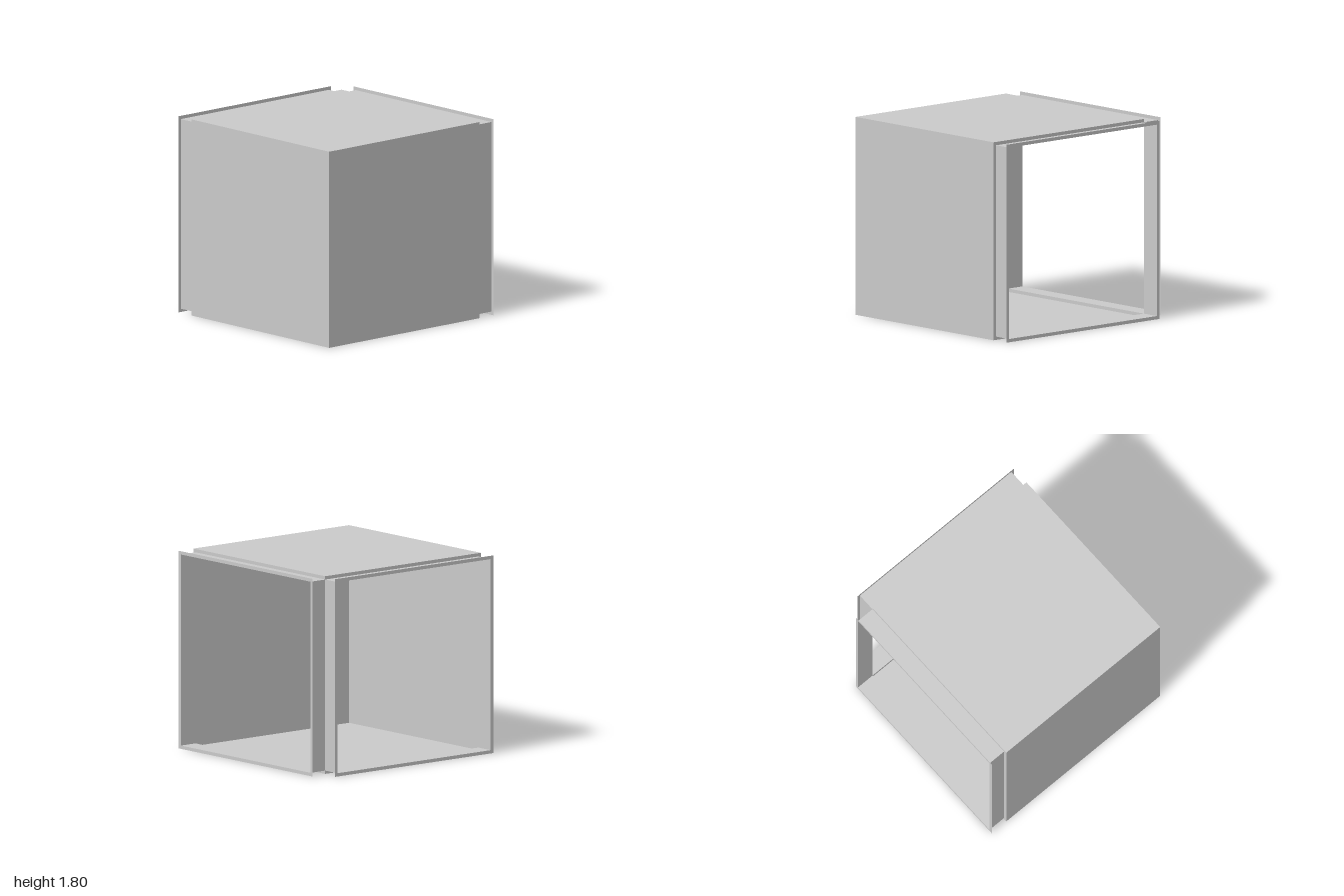
import * as THREE from 'three';

const H = 1.8;        // height of the body
const FACE = 0.828;   // where the body ends and a collar starts
const INSET = 0.03;   // collars are this much smaller than the body

const sheet = new THREE.MeshStandardMaterial({ color: 0xcccccc, side: THREE.DoubleSide });

// Rectangular cross-section at depth w, corners counter-clockwise seen from outside
const ring = (u0, u1, y0, y1, w) => [[u0, y0, w], [u1, y0, w], [u1, y1, w], [u0, y1, w]];

// Thin flat-sided sheet joining two rings; sides listed in skip are left out
function band(name, a, b, skip = []) {
  const pos = [];
  for (let i = 0; i < 4; i++) {
    if (skip.includes(i)) continue;
    const j = (i + 1) % 4;
    pos.push(...a[i], ...a[j], ...b[j], ...a[i], ...b[j], ...b[i]);
  }
  const geo = new THREE.BufferGeometry();
  geo.setAttribute('position', new THREE.Float32BufferAttribute(pos, 3));
  geo.computeVertexNormals();
  const mesh = new THREE.Mesh(geo, sheet);
  mesh.name = name;
  return mesh;
}

// Collar opening toward local +z: shoulder stepping in, sleeve, outward lip
function collar(name) {
  const body = ring(-1, FACE, 0, H, FACE);
  const inner = (w) => ring(-1 + INSET, FACE, INSET, H - INSET, w);
  const lip = ring(-1, FACE + INSET, 0, H, 1);
  const group = new THREE.Group();
  group.name = name;
  group.add(
    band('shoulder', body, inner(FACE), [1]), // flush at the inside corner
    band('sleeve', inner(FACE), inner(1)),
    band('lip', inner(1), lip),
  );
  return group;
}

// Flat body panel
function panel(name, w, h, position, rotation) {
  const mesh = new THREE.Mesh(new THREE.PlaneGeometry(w, h), sheet);
  mesh.name = name;
  mesh.position.set(...position);
  mesh.rotation.set(...rotation);
  return mesh;
}

export function createModel() {
  const model = new THREE.Group();
  model.name = 'ductElbow';

  // Body: closed at the front, the right, the top and the bottom
  const span = 1 + FACE;
  const mid = (1 - FACE) / 2;
  model.add(
    panel('topPanel', span, span, [-mid, H, mid], [-Math.PI / 2, 0, 0]),
    panel('bottomPanel', span, span, [-mid, 0, mid], [Math.PI / 2, 0, 0]),
    panel('frontPanel', span, H, [-mid, H / 2, 1], [0, 0, 0]),
    panel('rightPanel', span, H, [-1, H / 2, mid], [0, -Math.PI / 2, 0]),
  );

  // Two collars, mirrored about the diagonal of the elbow
  const left = collar('leftCollar');
  left.rotation.y = Math.PI / 2;
  const back = collar('backCollar');
  back.scale.z = -1;
  model.add(left, back);

  return model;
}
